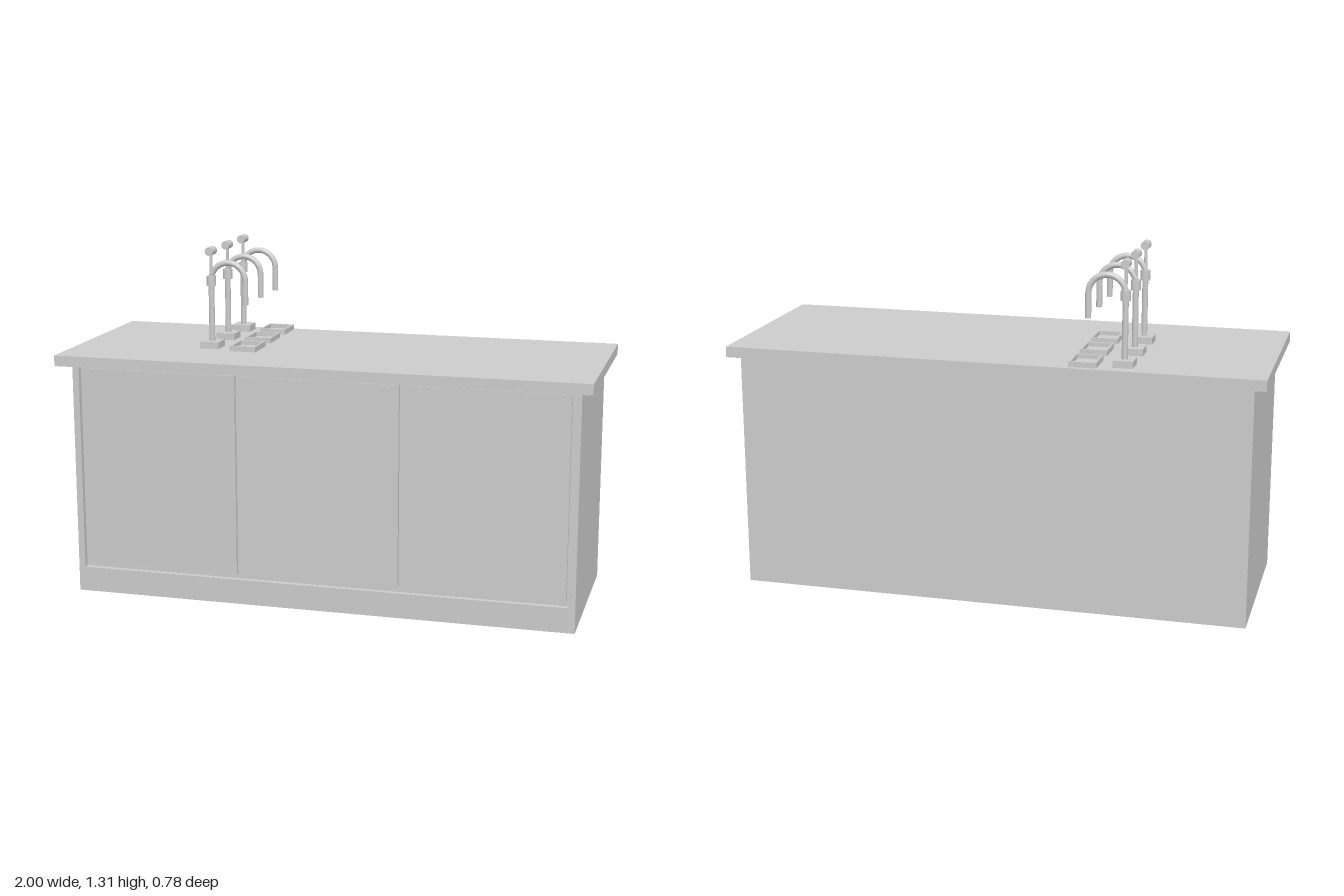
import * as THREE from 'three';

const mat = new THREE.MeshStandardMaterial({ color: 0xcccccc });

function add(parent, name, geometry, x = 0, y = 0, z = 0) {
  const mesh = new THREE.Mesh(geometry, mat);
  mesh.name = name;
  mesh.position.set(x, y, z);
  parent.add(mesh);
  return mesh;
}

// Box given by its minimum and maximum corners
function addBox(parent, name, [x0, y0, z0], [x1, y1, z1]) {
  return add(parent, name, new THREE.BoxGeometry(x1 - x0, y1 - y0, z1 - z0),
    (x0 + x1) / 2, (y0 + y1) / 2, (z0 + z1) / 2);
}

function addRod(parent, name, radius, x, y0, y1) {
  return add(parent, name, new THREE.CylinderGeometry(radius, radius, y1 - y0, 24), x, (y0 + y1) / 2, 0);
}

function rectangle(path, hw, hh) {
  path.moveTo(-hw, -hh);
  path.lineTo(hw, -hh);
  path.lineTo(hw, hh);
  path.lineTo(-hw, hh);
  path.closePath();
  return path;
}

function createCabinet() {
  const g = new THREE.Group();
  g.name = 'cabinet';

  // Carcass: its side outline has a step at the front, above the plinth
  addBox(g, 'carcass', [-0.93, 0.095, -0.36], [0.93, 0.89, 0.31]);
  addBox(g, 'plinth', [-0.93, 0, -0.36], [0.93, 0.095, 0.33]);
  for (const s of [-1, 1]) {
    addBox(g, 'sidePanel', [Math.min(s * 0.93, s * 0.955), 0, -0.36], [Math.max(s * 0.93, s * 0.955), 0.89, 0.33]);
  }

  // Three door panels with narrow gaps
  for (let i = 0; i < 3; i++) {
    const x = (i - 1) * 0.619;
    addBox(g, 'door', [x - 0.301, 0.115, 0.31], [x + 0.301, 0.875, 0.326]);
  }
  return g;
}

function createTap() {
  const g = new THREE.Group();
  g.name = 'tap';
  const x = -0.487, bend = 0.067, archY = 1.188;

  addBox(g, 'tapBase', [x - 0.037, 0.93, -0.037], [x + 0.037, 0.956, 0.037]);
  addRod(g, 'column', 0.011, x, 0.95, 1.2);
  addRod(g, 'collar', 0.018, x, 1.166, 1.204);
  addRod(g, 'handleStem', 0.006, x, 1.2, 1.29);

  // Handle knob lying across the tap
  const knob = add(g, 'handleKnob', new THREE.CylinderGeometry(0.016, 0.016, 0.05, 24), x, 1.298, 0);
  knob.rotation.x = Math.PI / 2;

  // Gooseneck spout: half circle, then a straight drop
  const arch = new THREE.TorusGeometry(bend, 0.011, 16, 32, Math.PI);
  add(g, 'spoutArch', arch, x + bend, archY, 0);
  addRod(g, 'spoutEnd', 0.011, x + 2 * bend, 1.097, archY);
  return g;
}

function createDripTray() {
  const g = new THREE.Group();
  g.name = 'dripTray';
  const rim = rectangle(new THREE.Shape(), 0.051, 0.063);
  rim.holes.push(rectangle(new THREE.Path(), 0.043, 0.055));
  const geo = new THREE.ExtrudeGeometry(rim, { depth: 0.02, bevelEnabled: false });
  geo.rotateX(-Math.PI / 2);
  add(g, 'trayRim', geo, -0.347, 0.93, 0);
  addBox(g, 'trayFloor', [-0.391, 0.93, -0.056], [-0.303, 0.934, 0.056]);
  return g;
}

export function createModel() {
  const model = new THREE.Group();
  model.name = 'barCounter';
  model.add(createCabinet());
  addBox(model, 'countertop', [-1, 0.89, -0.39], [1, 0.93, 0.39]);

  // Row of three taps, each with its drip tray
  for (const z of [0.076, -0.116, -0.308]) {
    const station = new THREE.Group();
    station.name = 'tapStation';
    station.position.z = z;
    station.add(createTap(), createDripTray());
    model.add(station);
  }
  return model;
}
